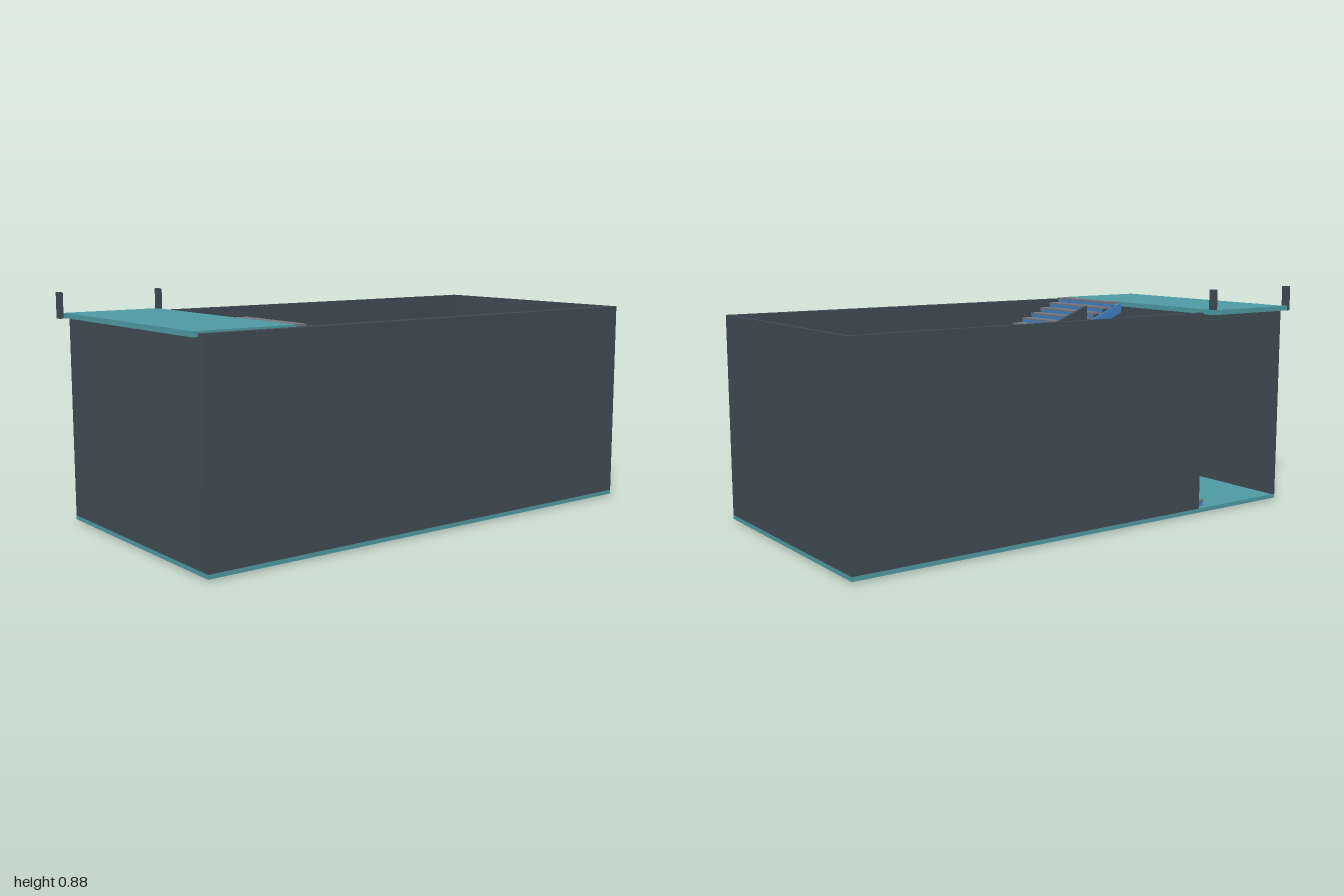
import * as THREE from 'three';

const material = (color, side = THREE.FrontSide) => new THREE.MeshStandardMaterial({ color, side, flatShading: true });
const teal = material(0x4f9aa3);
const slate = material(0x414b54);
const treadGrey = material(0x74767e);
const blue = material(0x3f7fc0);

const STEPS = 20;

// Box given by its lower and upper limits on each axis
function box(parent, name, mat, [x0, x1], [y0, y1], [z0, z1]) {
  const mesh = new THREE.Mesh(new THREE.BoxGeometry(x1 - x0, y1 - y0, z1 - z0), mat);
  mesh.position.set((x0 + x1) / 2, (y0 + y1) / 2, (z0 + z1) / 2);
  mesh.name = name;
  parent.add(mesh);
  return mesh;
}

// Upright plate with a (z, y) outline, spanning x0 to x1
function plate(parent, name, mat, x0, x1, outline) {
  const shape = new THREE.Shape(outline.map(([z, y]) => new THREE.Vector2(-z, y)));
  const geometry = new THREE.ExtrudeGeometry(shape, { depth: x1 - x0, bevelEnabled: false });
  geometry.rotateY(Math.PI / 2);
  geometry.translate(x0, 0, 0);
  const mesh = new THREE.Mesh(geometry, mat);
  mesh.name = name;
  parent.add(mesh);
}

// Straight flight climbing from (zLow, yLow) to (zHigh, yHigh)
function flight(name, x0, x1, zLow, zHigh, yLow, yHigh) {
  const group = new THREE.Group();
  group.name = name;
  const run = (zHigh - zLow) / STEPS;
  const rise = (yHigh - yLow) / STEPS;
  const dir = Math.sign(run);
  const span = (a, b) => [Math.min(a, b), Math.max(a, b)];

  for (let i = 0; i < STEPS; i++) {
    const z = zLow + i * run;
    const y = yLow + (i + 1) * rise;
    box(group, 'tread', treadGrey, [x0, x1], [y - 0.007, y], span(z - dir * 0.004, z + run));
    box(group, 'riser', blue, [x0, x1], [y - rise, y - 0.007], span(z, z + dir * 0.004));
  }

  // Sloping stringers on both sides
  const depth = 0.045;
  for (const x of [x0 - 0.01, x1]) {
    plate(group, 'stringer', blue, x, x + 0.01, [
      [zLow, yLow], [zHigh, yHigh - 0.004], [zHigh, yHigh - depth],
      [zLow + (zHigh - zLow) * 0.06, Math.max(yLow - 0.02, 0)], [zLow, Math.max(yLow - depth, 0)],
    ]);
  }
  return group;
}

// Sloping balustrade board between two ends given as (z, top y)
function rail(parent, name, x0, x1, [za, ya], [zb, yb]) {
  const h = 0.07;
  plate(parent, name, slate, x0, x1, [[za, ya], [zb, yb], [zb, yb - h], [za, ya - h]]);
}

export function createModel() {
  const model = new THREE.Group();
  model.name = 'stairwell';

  // Floor and enclosing walls, open above and at the front of the -x side
  const wallY = [0.022, 0.79];
  box(model, 'floor', teal, [-0.485, 0.485], [0.006, 0.022], [-1, 0.95]);
  box(model, 'leftWall', slate, [0.45, 0.485], wallY, [-1, 0.95]);
  box(model, 'rightWall', slate, [-0.485, -0.468], wallY, [-1, 0.52]);
  box(model, 'backWall', slate, [-0.468, 0.45], wallY, [-1, -0.985]);
  box(model, 'frontWall', slate, [-0.485, 0.45], [0.022, 0.778], [0.935, 0.95]);

  // Landings
  box(model, 'middleLanding', teal, [-0.468, 0.45], [0.38, 0.4], [-0.78, -0.39]);
  box(model, 'upperLanding', teal, [-0.458, 0.452], [0.778, 0.797], [0.58, 0.97]);
  box(model, 'landingEdge', teal, [-0.487, -0.458], [0.778, 0.797], [0.575, 0.985]);

  // Posts on the open edge of the upper landing
  for (const z of [0.575, 0.985]) {
    box(model, 'post', slate, [-0.487, -0.458], [z > 0.9 ? 0.778 : 0.797, 0.875], [z, z + 0.015]);
  }

  // Two flights turning back on each other
  model.add(flight('lowerFlight', -0.445, -0.08, 0.58, -0.39, 0.022, 0.4));
  model.add(flight('upperFlight', 0.077, 0.44, -0.4, 0.58, 0.4, 0.797));

  // Balustrade boards following the slopes
  rail(model, 'lowerInnerRail', -0.068, -0.053, [0.405, 0.18], [-0.2, 0.415]);
  rail(model, 'lowerWallRail', -0.468, -0.455, [0.405, 0.18], [-0.2, 0.415]);
  rail(model, 'upperInnerRail', 0.048, 0.064, [-0.22, 0.555], [0.38, 0.79]);

  return model;
}
